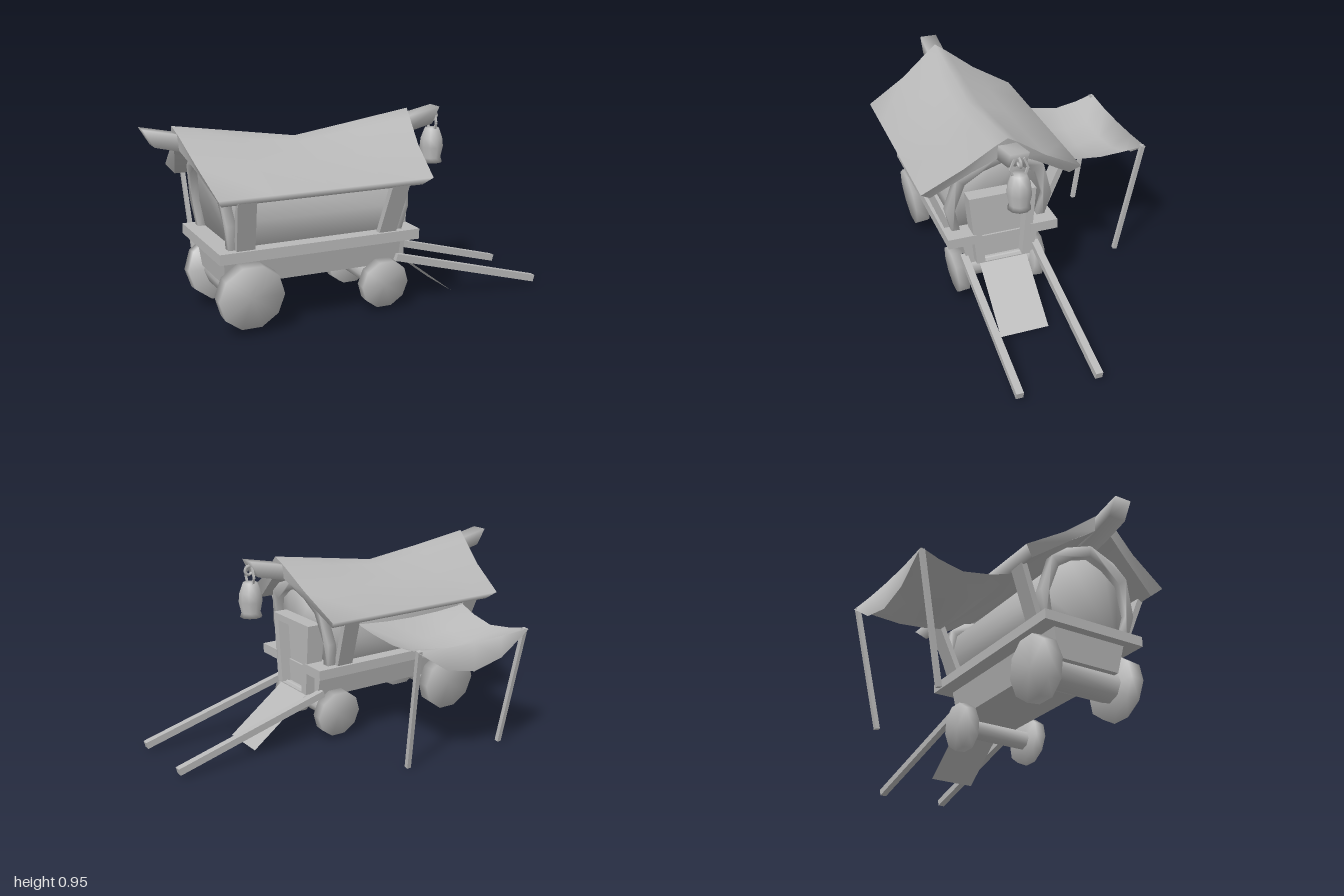
import * as THREE from 'three';
import { mergeVertices, toCreasedNormals } from 'three/addons/utils/BufferGeometryUtils.js';

const V = (x, y, z) => new THREE.Vector3(x, y, z);

// Weld corners so shading flows over the low-poly form
function smooth(g) {
  g.deleteAttribute('uv');
  g.deleteAttribute('normal');
  const m = mergeVertices(g, 1e-4);
  m.computeVertexNormals();
  return m;
}
const crease = (g) => toCreasedNormals(g, 0.8);

// Skin over rows of points; closed rows wrap round and may be capped
function loft(rows, closed = false, capped = false) {
  const n = rows[0].length, idx = [];
  const m = closed ? n : n - 1;
  for (let r = 0; r < rows.length - 1; r++) {
    for (let i = 0; i < m; i++) {
      const a = r * n + i, b = r * n + (i + 1) % n;
      idx.push(a, b, a + n, b, b + n, a + n);
    }
  }
  if (capped) {
    const e = (rows.length - 1) * n;
    for (let i = 1; i < n - 1; i++) idx.push(0, i + 1, i, e, e + i, e + i + 1);
  }
  const g = new THREE.BufferGeometry().setFromPoints(rows.flat());
  g.setIndex(idx);
  g.computeVertexNormals();
  return g;
}

// Extrude a (z, y) outline along x, leaning outward with height
function endPanel(points, hole, x0, depth, lean = 0) {
  const s = new THREE.Shape(points.map(([a, b]) => new THREE.Vector2(a, b)));
  if (hole) s.holes.push(new THREE.Path(hole.map(([a, b]) => new THREE.Vector2(a, b))));
  const g = new THREE.ExtrudeGeometry(s, { depth, bevelEnabled: false });
  g.rotateY(Math.PI / 2).translate(x0, 0, 0);
  const p = g.attributes.position;
  for (let i = 0; i < p.count; i++) p.setX(i, p.getX(i) + lean * (p.getY(i) - 0.41));
  return g;
}

// Mirror a half outline, ordered from the bottom up, about z = 0
const mirrored = (half) => [...half, ...half.filter((p) => p[0] > 0).reverse().map(([z, y]) => [-z, y])];

export function createModel() {
  const group = new THREE.Group();
  const grey = new THREE.MeshStandardMaterial({ color: 0xb8b8b8, side: THREE.DoubleSide });
  grey.name = 'plain grey';
  const wagon = new THREE.Group();
  wagon.name = 'wagon';
  wagon.position.z = 0.22;
  group.add(wagon);

  const add = (name, geo, parent = wagon) => {
    const m = new THREE.Mesh(geo, grey);
    m.name = name;
    parent.add(m);
    return m;
  };
  // Straight bar between two points
  const bar = (name, a, b, w, d, parent = wagon) => {
    const m = add(name, new THREE.BoxGeometry(w, a.distanceTo(b), d), parent);
    m.position.copy(a).add(b).multiplyScalar(0.5);
    m.quaternion.setFromUnitVectors(V(0, 1, 0), b.clone().sub(a).normalize());
    return m;
  };

  // Roof: sagging ridge, flared gables; each point is z, y, sag, half length
  const outer = [[0.4, 0.685, 0, 0.52], [0.2, 0.8, 0.025, 0.55], [0.06, 0.905, 0.065, 0.58], [0, 0.945, 0.09, 0.595]];
  const inner = [[0, 0.865, 0.07, 0.58], [0.16, 0.77, 0.025, 0.54], [0.35, 0.645, 0, 0.49]];
  const flip = (list) => list.map(([z, ...r]) => [-z, ...r]);
  const section = [...outer, ...flip(outer.slice(0, 3)).reverse(), ...flip(inner.slice(1)).reverse(), ...inner];
  add('roof', loft([-1, -0.5, 0, 0.5, 1].map((t) => section.map(([z, y, sag, half]) =>
    V(-0.265 + t * half, y - sag * (1 - Math.abs(t)), z))), true));
  // Gable rims close the gap between the two roof skins
  for (const t of [-1, 1]) {
    const rim = (list) => [...list, ...flip(list).reverse().slice(1)].map(([z, y, , h]) => V(-0.265 + t * h, y, z));
    const inside = [...inner].reverse();
    inside.splice(2, 0, [0.05, 0.837, 0, 0.575]);
    add('roofRim', loft([rim(outer), rim(inside)]));
  }

  // Ridge beam, with slanted ends
  const beam = [[-0.975, 0.903, 0.025], [-0.82, 0.868, 0.012], [-0.26, 0.79, 0], [0.3, 0.868, -0.012], [0.47, 0.905, -0.02]];
  add('ridgeBeam', loft(beam.map(([x, y, s]) =>
    [[1, 1], [1, -1], [-1, -1], [-1, 1]].map(([z, u]) => V(x - s * u, y + 0.041 * u, z * 0.045))), true, true));

  // Cabin, arched in section and longer towards the top
  const hull = mirrored([[0.2, 0.37], [0.235, 0.53], [0.19, 0.68], [0.11, 0.75], [0, 0.79]]);
  add('cabin', loft([-1, 1].map((s) => hull.map(([z, y]) =>
    V(-0.255 + s * (0.4 + 0.14 * (y - 0.41)), y, z))), true, true));

  // Arched end frames
  const archOut = [[0.235, 0.39], [0.27, 0.53], [0.22, 0.71], [0.14, 0.77], [0, 0.82]];
  const archIn = [[0.195, 0.39], [0.225, 0.53], [0.178, 0.675], [0.09, 0.735], [0, 0.765]];
  const arch = [...mirrored(archOut), ...mirrored(archIn).reverse()];
  add('frontArch', smooth(endPanel(arch, null, 0.135, 0.045, 0.14)));
  add('backArch', smooth(endPanel(arch, null, -0.69, 0.045, -0.14)));

  // Door frame and recessed door
  const doorOut = [[-0.138, 0.24], [0.138, 0.24], [0.17, 0.61], [-0.17, 0.61]];
  const doorIn = [[-0.095, 0.245], [0.095, 0.245], [0.125, 0.575], [-0.125, 0.575]];
  add('doorFrame', crease(endPanel(doorOut, doorIn, 0.16, 0.09)));
  add('door', endPanel(doorIn, null, 0.17, 0.02));

  // Deck with a notch for the door
  const deck = new THREE.Shape([[-0.745, -0.28], [0.255, -0.28], [0.255, -0.14], [0.165, -0.14],
    [0.165, 0.14], [0.255, 0.14], [0.255, 0.28], [-0.745, 0.28]].map(([a, b]) => new THREE.Vector2(a, b)));
  add('deck', new THREE.ExtrudeGeometry(deck, { depth: 0.05, bevelEnabled: false })
    .rotateX(Math.PI / 2).translate(0, 0.41, 0));

  // Tapered under-body
  const lower = [[0.36, -0.7, 0.2, 0.2], [0.22, -0.685, 0.2, 0.17]];
  add('underBody', crease(loft(lower.map(([y, x0, x1, z]) =>
    [V(x0, y, z), V(x1, y, z), V(x1, y, -z), V(x0, y, -z)]), true, true)));

  // Leaning eave posts
  for (const s of [-1, 1]) {
    bar('rearPost', V(-0.615, 0.4, s * 0.245), V(-0.64, 0.66, s * 0.345), 0.088, 0.03);
    bar('frontPost', V(0.093, 0.4, s * 0.245), V(0.112, 0.66, s * 0.345), 0.088, 0.03);
  }

  // Wheels splay outward at the top; axles join each pair
  for (const [name, x, y, r, z, w, axle] of [['rear', -0.59, 0.185, 0.158, 0.23, 0.07, 0.08],
    ['front', 0.105, 0.137, 0.122, 0.2, 0.055, 0.05]]) {
    for (const s of [-1, 1]) {
      const g = new THREE.CylinderGeometry(r, r, w, 10).rotateY(Math.PI / 10).rotateX(Math.PI / 2);
      const wheel = add(name + 'Wheel', smooth(g));
      wheel.position.set(x, y, s * z);
      wheel.rotation.x = s * 0.1;
    }
    const a = add(name + 'Axle', crease(new THREE.CylinderGeometry(axle, axle, z * 2, 8).rotateX(Math.PI / 2)));
    a.position.set(x, y, 0);
  }

  // Pulling shafts and entrance ramp
  for (const s of [-1, 1]) bar('shaft', V(0.18, 0.252, s * 0.185), V(0.992, 0.03, s * 0.19), 0.035, 0.035);
  add('ramp', loft([[V(0.22, 0.25, 0.122), V(0.22, 0.25, -0.122)], [V(0.545, 0.002, 0.122), V(0.545, 0.002, -0.122)]]));

  // Hanging lamp
  const lamp = new THREE.Group();
  lamp.name = 'lamp';
  lamp.position.x = 0.475;
  wagon.add(lamp);
  const profile = [[0, 0.665], [0.056, 0.662], [0.048, 0.685], [0.06, 0.74], [0.055, 0.785], [0.036, 0.835], [0, 0.838]];
  add('lampBody', new THREE.LatheGeometry(profile.map(([a, b]) => new THREE.Vector2(a, b)), 10), lamp);
  for (const s of [-1, 1]) {
    bar('lampHandle', V(0, 0.83, s * 0.03), V(0, 0.865, s * 0.042), 0.01, 0.01, lamp);
    bar('lampHandle', V(0, 0.865, s * 0.042), V(0, 0.915, s * 0.022), 0.01, 0.01, lamp);
  }
  add('lampHook', new THREE.TorusGeometry(0.022, 0.008, 5, 8).translate(0.005, 0.895, 0), lamp);

  // Side awning: edges high, middle sagging; rows of z, edge y, middle y, half width
  const awning = new THREE.Group();
  awning.name = 'awning';
  group.add(awning);
  const cloth = [[-0.13, 0.638, 0.62, 0.333], [-0.24, 0.61, 0.535, 0.318], [-0.38, 0.59, 0.505, 0.306],
    [-0.51, 0.605, 0.53, 0.32], [-0.612, 0.626, 0.61, 0.338], [-0.62, 0.62, 0.47, 0.338]];
  add('awningCloth', loft(cloth.map(([z, edge, mid, half]) => [-1, -0.5, 0, 0.5, 1].map((t) =>
    V(-0.26 + t * half, mid + (edge - mid) * t * t, z)))), awning);
  for (const s of [-1, 1]) {
    bar('awningPole', V(-0.26 + s * 0.29, 0, -0.49), V(-0.26 + s * 0.325, 0.625, -0.605), 0.022, 0.022, awning);
  }
  return group;
}
